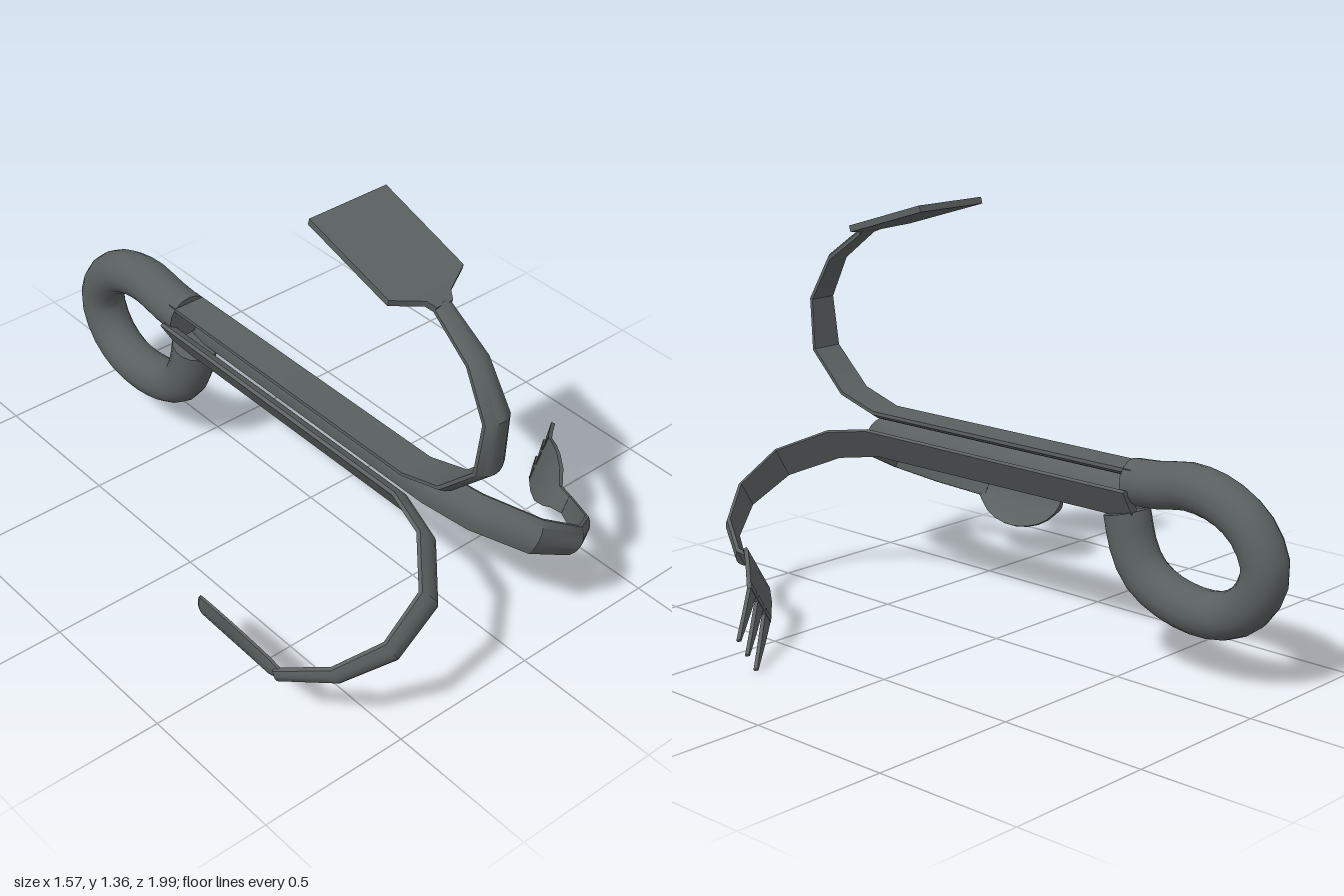
import * as THREE from 'three';
import { toCreasedNormals } from 'three/addons/utils/BufferGeometryUtils.js';

const AXIS_X = -0.155, AXIS_Y = 0.545;

// Lofts a strip along stations [z, radius, halfWidth, sideOffset].
// One face is flat (or dished), the other swells by `hump` beyond the edge thickness.
function strip(stations, { edge = 0.012, hump = 0, dish = 0 }) {
  const us = [-1, -0.66, -0.33, 0, 0.33, 0.66, 1];
  const n = us.length * 2, pos = [], idx = [];
  stations.forEach(([z, r, w, off = 0], i) => {
    const a = stations[Math.max(i - 1, 0)], b = stations[Math.min(i + 1, stations.length - 1)];
    const len = Math.hypot(b[0] - a[0], b[1] - a[1]);
    const nz = -(b[1] - a[1]) / len, nr = (b[0] - a[0]) / len;
    const scale = Math.min(1, w / 0.05);
    const put = (u, d) => pos.push(off + u * w, r - nr * d, z - nz * d);
    us.forEach(u => put(u, edge + hump * scale * (1 - u * u)));
    [...us].reverse().forEach(u => put(u, dish * scale * (1 - u * u)));
  });
  const last = (stations.length - 1) * n;
  for (let i = 0; i < last; i += n) {
    for (let k = 0; k < n; k++) {
      const j = (k + 1) % n;
      idx.push(i + k, i + j, i + n + j, i + k, i + n + j, i + n + k);
    }
  }
  // End caps
  for (let k = 0; k < us.length - 1; k++) {
    const a = k, b = k + 1, c = n - 2 - k, d = n - 1 - k;
    idx.push(a, c, b, a, d, c);
    idx.push(last + a, last + b, last + c, last + a, last + c, last + d);
  }
  const g = new THREE.BufferGeometry();
  g.setAttribute('position', new THREE.Float32BufferAttribute(pos, 3));
  g.setIndex(idx);
  return toCreasedNormals(g, 0.6);
}

export function createModel() {
  const model = new THREE.Group();
  model.name = 'utensilGrapple';
  const steel = new THREE.MeshStandardMaterial({ color: 0x5a6060 });
  steel.name = 'darkSteel';

  const add = (parent, name, geometry) => {
    const mesh = new THREE.Mesh(geometry, steel);
    mesh.name = name;
    parent.add(mesh);
    return mesh;
  };

  // Handle shared by the three arms: straight along the shaft, then hooked back
  const handle = [
    [-0.46, 0.075, 0.055], [0.66, 0.075, 0.057], [0.81, 0.12, 0.058], [0.945, 0.25, 0.056],
    [0.962, 0.42, 0.048], [0.88, 0.565, 0.039], [0.73, 0.67, 0.03],
  ];
  const makeArm = (name, angle) => {
    const arm = new THREE.Group();
    arm.name = name;
    arm.position.set(AXIS_X, AXIS_Y, 0);
    arm.rotation.z = angle;
    add(arm, name + 'Handle', strip(handle, { edge: 0.012, hump: 0.023 }));
    model.add(arm);
    return arm;
  };

  // Spatula arm, pointing up
  const spatula = makeArm('spatula', 0);
  add(spatula, 'spatulaBlade', strip([
    [0.74, 0.665, 0.03], [0.715, 0.677, 0.045, 0.002], [0.665, 0.692, 0.138, 0.004], [0.33, 0.79, 0.142, 0.01],
  ], { edge: 0.022 }));

  // Spoon arm, pointing to the lower right side
  const spoon = makeArm('spoon', Math.PI * 2 / 3);
  const bowl = [[0.75, 0.657, 0.028]];
  for (let i = 1; i <= 10; i++) {
    const a = 0.25 + (Math.PI - 0.27) * i / 10;
    bowl.push([0.55 + 0.188 * Math.cos(a), 0.655 - 0.008 * i / 10, 0.113 * Math.sin(a)]);
  }
  add(spoon, 'spoonBowl', strip(bowl, { edge: 0.008, hump: 0.028, dish: 0.028 }));

  // Fork arm, pointing to the lower left side
  const fork = makeArm('fork', -Math.PI * 2 / 3);
  add(fork, 'forkPalm', strip([
    [0.74, 0.662, 0.03], [0.685, 0.672, 0.038, 0], [0.65, 0.685, 0.068, -0.016],
    [0.6, 0.71, 0.087, -0.025], [0.54, 0.76, 0.088, -0.028], [0.46, 0.84, 0.077, -0.028],
  ], { edge: 0.014 }));
  for (const side of [-1, 0, 1]) {
    add(fork, 'forkProng', strip([
      [0.475, 0.822, 0.021, -0.028 + side * 0.056],
      [0.4, 0.925, 0.013, -0.03 + side * 0.06],
      [0.33, 1.025, 0.004, -0.032 + side * 0.064],
    ], { edge: 0.013 }));
  }

  // Curled eye at the back of the shaft
  const path = [
    [-0.43, 0.568], [-0.53, 0.575], [-0.65, 0.592], [-0.78, 0.565], [-0.88, 0.495], [-0.926, 0.39], [-0.885, 0.285],
    [-0.8, 0.225], [-0.69, 0.21], [-0.56, 0.237], [-0.475, 0.29], [-0.43, 0.365], [-0.403, 0.47],
  ];
  const curve = new THREE.CatmullRomCurve3(path.map(([z, y]) => new THREE.Vector3(AXIS_X, y, z)));
  add(model, 'ringTube', new THREE.TubeGeometry(curve, 26, 0.074, 16));
  for (const t of [0, 1]) {
    const cap = add(model, 'ringEnd', new THREE.CircleGeometry(0.074, 16));
    const p = curve.getPointAt(t), dir = curve.getTangentAt(t).multiplyScalar(t ? 1 : -1);
    cap.position.copy(p);
    cap.lookAt(p.clone().add(dir));
  }
  return model;
}
